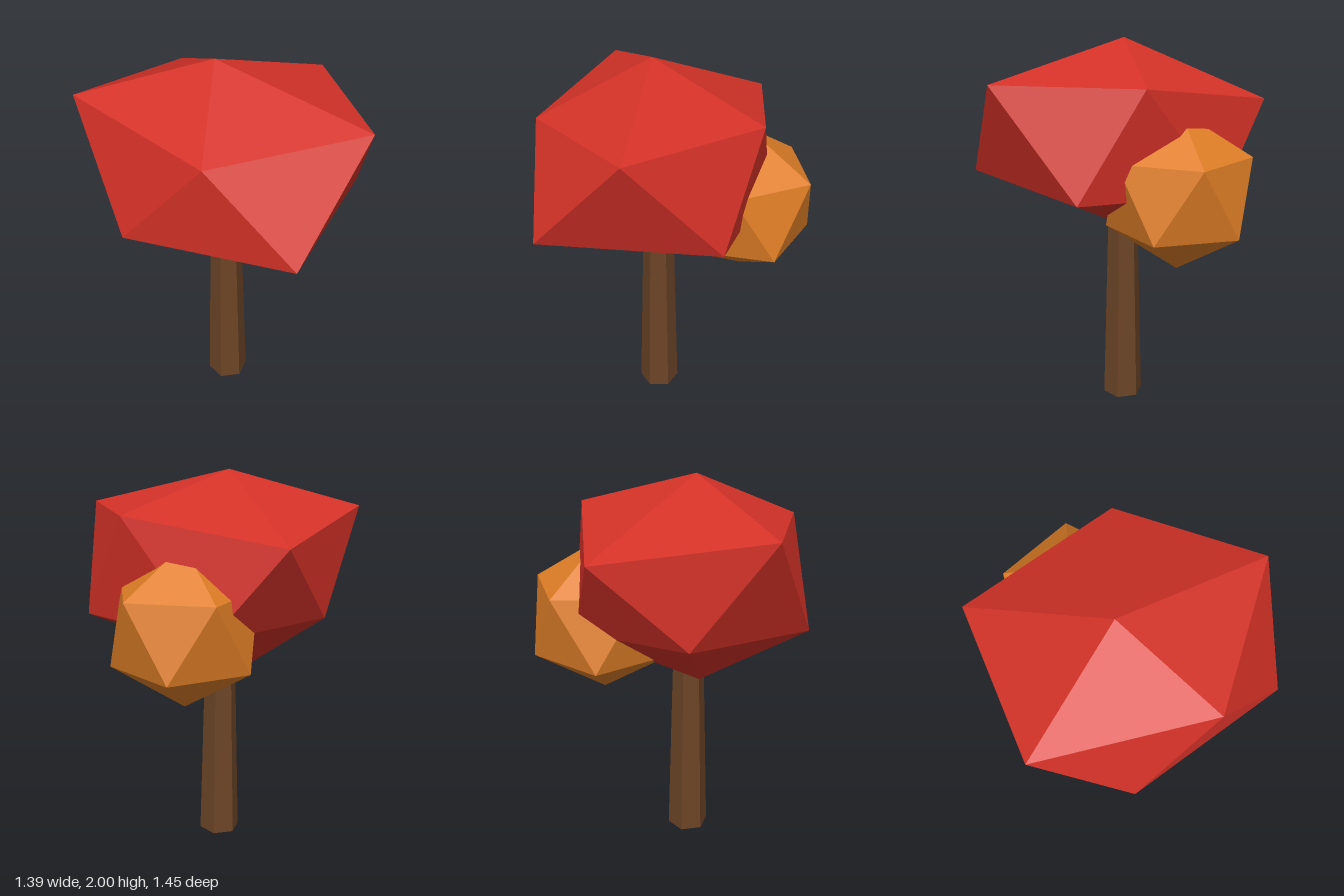
import * as THREE from 'three';

const mat = (name, color) => {
  const m = new THREE.MeshStandardMaterial({ color, flatShading: true });
  m.name = name;
  return m;
};

// Twenty-sided crown: top point, ring of five, staggered ring of five, bottom point
function crownGeometry(top, upper, lower, bottom) {
  const pos = [];
  for (let i = 0; i < 5; i++) {
    const j = (i + 1) % 5;
    pos.push(
      ...top, ...upper[j], ...upper[i],
      ...upper[i], ...upper[j], ...lower[i],
      ...lower[i], ...upper[j], ...lower[j],
      ...bottom, ...lower[i], ...lower[j]
    );
  }
  const g = new THREE.BufferGeometry();
  g.setAttribute('position', new THREE.Float32BufferAttribute(pos, 3));
  g.computeVertexNormals();
  return g;
}

// Regular ring of five points
const ring = (radius, y, start) =>
  Array.from({ length: 5 }, (_, i) => {
    const a = start + (i * Math.PI * 2) / 5;
    return [radius * Math.cos(a), y, radius * Math.sin(a)];
  });

export function createModel() {
  const tree = new THREE.Group();
  tree.name = 'tree';
  const add = (name, geometry, material, x = 0, y = 0, z = 0) => {
    const mesh = new THREE.Mesh(geometry, material);
    mesh.name = name;
    mesh.position.set(x, y, z);
    tree.add(mesh);
  };

  // Tapered six-sided trunk, its top buried in the crown
  const height = 1.12;
  add('trunk', new THREE.CylinderGeometry(0.08, 0.111, height, 6),
    mat('bark brown', 0x6b4426), -0.074, height / 2, -0.04);

  // Large irregular crown
  add('mainCrown', crownGeometry(
    [-0.115, 2, -0.055],
    [[0.53, 1.81, 0.01], [0.19, 1.81, 0.68], [-0.515, 1.75, 0.36], [-0.63, 1.815, -0.49], [0.17, 1.7, -0.725]],
    [[0.51, 1.285, 0.33], [-0.285, 1.307, 0.725], [-0.7, 1.263, -0.04], [-0.26, 1.3, -0.59], [0.38, 1.26, -0.43]],
    [-0.16, 0.95, -0.12]
  ), mat('leaf red', 0xd43127));

  // Small regular crown at the back left
  const r = 0.4, ringR = r * 2 / Math.sqrt(5), ringY = r / Math.sqrt(5);
  add('sideCrown', crownGeometry(
    [0, r, 0], ring(ringR, ringY, 0), ring(ringR, -ringY, Math.PI / 5), [0, -r, 0]
  ), mat('leaf orange', 0xdf7e26), 0.335, 1.28, -0.213);

  return tree;
}
